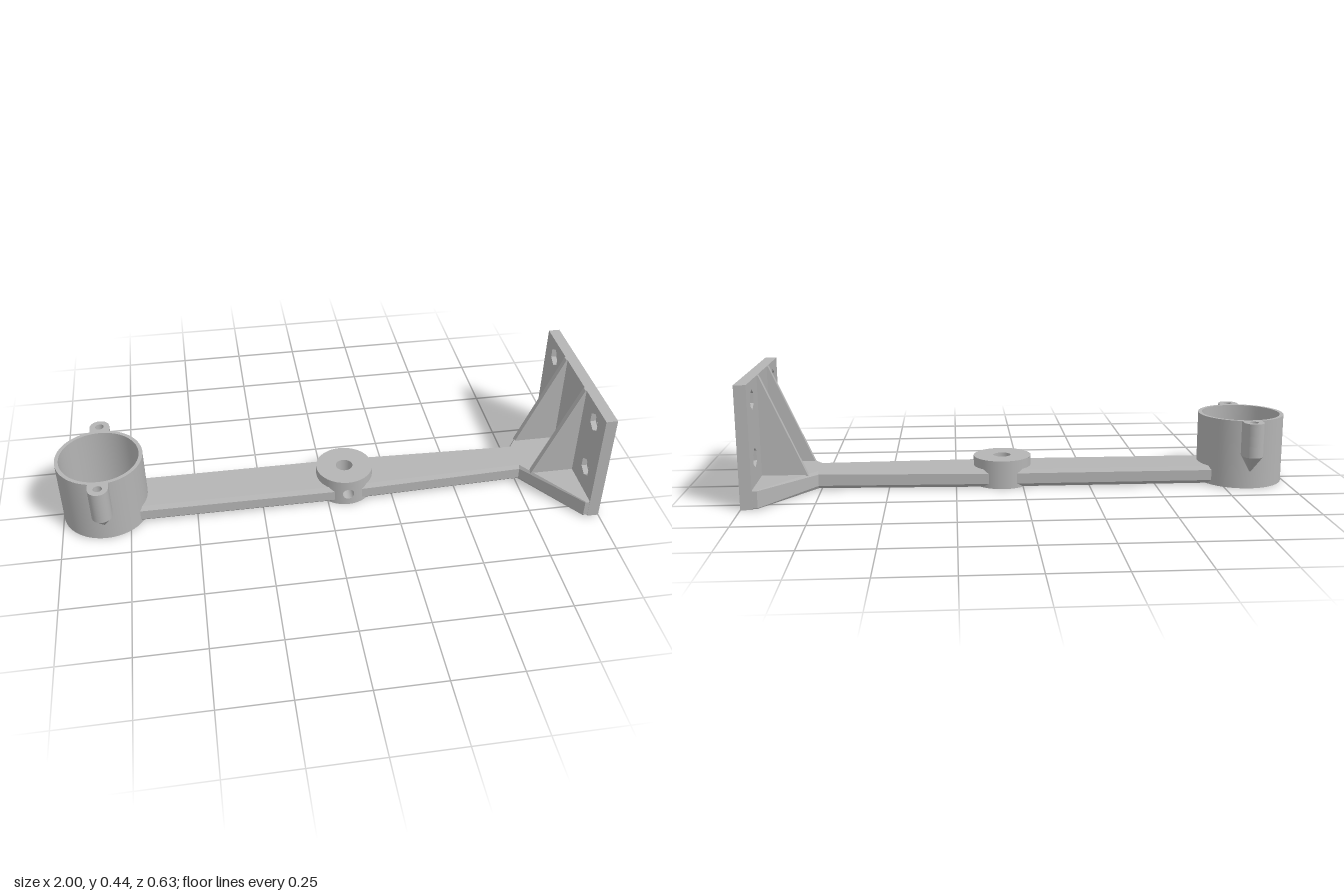
import * as THREE from 'three';

const grey = new THREE.MeshStandardMaterial({ color: 0xb4b4b4, side: THREE.DoubleSide });
grey.name = 'grey plastic';

const CUP = { x: -0.84, r: 0.16, inner: 0.146, h: 0.257 };
const BOSS = { x: 0.075, r: 0.108, top: 0.106 };

function part(name, geometry, x = 0, y = 0, z = 0) {
  const mesh = new THREE.Mesh(geometry, grey);
  mesh.name = name;
  mesh.position.set(x, y, z);
  return mesh;
}

const extrude = (shape, depth) =>
  new THREE.ExtrudeGeometry(shape, { depth, bevelEnabled: false, curveSegments: 32 });

// Flat-shaded triangles from a list of points
function faceted(points) {
  const g = new THREE.BufferGeometry().setFromPoints(points);
  g.computeVertexNormals();
  return g;
}

// Chamfered bar through stations [x, half width, chamfer]; bend shifts x by z
function bar(stations, bend = () => 0) {
  const lo = 0.003, hi = 0.07;
  const rings = stations.map(([x, w, c], i) => [
    [0, hi], [w - c, hi], [w, hi - c], [w, lo + c], [w - c, lo],
    [0, lo], [c - w, lo], [-w, lo + c], [-w, hi - c], [c - w, hi],
  ].map(([z, y]) => new THREE.Vector3(i === 0 ? x + bend(z) : x, y, z)));
  const tris = [];
  for (let i = 0; i + 1 < rings.length; i++) {
    const a = rings[i], b = rings[i + 1];
    for (let j = 0; j < a.length; j++) {
      const k = (j + 1) % a.length;
      tris.push(a[j], a[k], b[j], a[k], b[k], b[j]);
    }
  }
  return faceted(tris);
}

// Screw ear with a tapered support running back to the cup wall
function ear() {
  const g = new THREE.Group();
  g.name = 'screwEar';
  const r = 0.037, bottom = 0.13, reach = 0.185;
  const shape = new THREE.Shape();
  shape.moveTo(r, 0.15);
  shape.lineTo(r, reach);
  shape.absarc(0, reach, r, 0, Math.PI, false);
  shape.lineTo(-r, 0.15);
  const outline = shape.getPoints(16).map(p => new THREE.Vector3(p.x, bottom, -p.y));
  shape.holes.push(new THREE.Path().absarc(0, reach, 0.016, 0, Math.PI * 2, true));
  g.add(part('earBlock', extrude(shape, CUP.h - bottom).rotateX(-Math.PI / 2), 0, bottom, 0));
  const tip = new THREE.Vector3(0, 0.06, -0.155);
  const tris = [];
  for (let i = 0; i + 1 < outline.length; i++) tris.push(outline[i], tip, outline[i + 1]);
  g.add(part('earTaper', faceted(tris)));
  return g;
}

// Round cup with a floor and two ears
function cup() {
  const g = new THREE.Group();
  g.name = 'cup';
  g.position.x = CUP.x;
  const floor = 0.02;
  g.add(part('outerWall', new THREE.CylinderGeometry(CUP.r, CUP.r, CUP.h, 64, 1, true), 0, CUP.h / 2));
  g.add(part('innerWall', new THREE.CylinderGeometry(CUP.inner, CUP.inner, CUP.h - floor, 64, 1, true), 0, (CUP.h + floor) / 2));
  g.add(part('rim', new THREE.RingGeometry(CUP.inner, CUP.r, 64).rotateX(-Math.PI / 2), 0, CUP.h));
  g.add(part('cupFloor', new THREE.CircleGeometry(CUP.inner, 64).rotateX(-Math.PI / 2), 0, floor));
  g.add(part('cupBase', new THREE.CircleGeometry(CUP.r, 64).rotateX(Math.PI / 2)));
  for (const turn of [0, Math.PI]) {
    const e = ear();
    e.rotation.y = turn;
    g.add(e);
  }
  return g;
}

// Pivot boss with a blind top hole and a set-screw hole in front
function boss() {
  const g = new THREE.Group();
  g.name = 'pivotBoss';
  g.position.x = BOSS.x;
  const { r, top } = BOSS, half = 0.4, bore = 0.032, floor = 0.025, screw = 0.022, screwY = 0.049;
  g.add(part('bossWall', new THREE.CylinderGeometry(r, r, top, 56, 1, true, half, Math.PI * 2 - half * 2), 0, top / 2));

  // Front part of the wall, wrapped round the boss
  const panel = new THREE.Shape();
  const n = 10;
  panel.moveTo(-half * r, 0);
  for (let i = 1; i <= n; i++) panel.lineTo((2 * i / n - 1) * half * r, 0);
  for (let i = n; i >= 0; i--) panel.lineTo((2 * i / n - 1) * half * r, top);
  panel.holes.push(new THREE.Path().absarc(0, screwY, screw, 0, Math.PI * 2, true));
  const wrap = new THREE.ShapeGeometry(panel, 24);
  const pos = wrap.attributes.position, nor = wrap.attributes.normal;
  for (let i = 0; i < pos.count; i++) {
    const a = pos.getX(i) / r;
    pos.setXYZ(i, r * Math.sin(a), pos.getY(i), r * Math.cos(a));
    nor.setXYZ(i, Math.sin(a), 0, Math.cos(a));
  }
  g.add(part('bossFront', wrap));
  g.add(part('screwHole', new THREE.CylinderGeometry(screw, screw, 0.08, 24, 1, true).rotateX(Math.PI / 2), 0, screwY, 0.066));
  g.add(part('bossTop', new THREE.RingGeometry(bore, r, 56).rotateX(-Math.PI / 2), 0, top));
  g.add(part('bossBase', new THREE.CircleGeometry(r, 56).rotateX(Math.PI / 2)));
  g.add(part('boreWall', new THREE.CylinderGeometry(bore, bore, top - floor, 32, 1, true), 0, (top + floor) / 2));
  g.add(part('boreFloor', new THREE.CircleGeometry(bore, 32).rotateX(-Math.PI / 2), 0, floor));
  return g;
}

// One layer of the mounting plate, with four holes of a given radius and side count
function plateLayer(holeRadius, sides, depth) {
  const w = 0.313, h = 0.44;
  const shape = new THREE.Shape([[-w, 0], [w, 0], [w, h], [-w, h]].map(p => new THREE.Vector2(...p)));
  for (const z of [-0.22, 0.22]) for (const y of [0.165, 0.373]) {
    const pts = [];
    for (let i = 0; i < sides; i++) {
      const a = Math.PI / 2 - i * Math.PI * 2 / sides;
      pts.push(new THREE.Vector2(z + holeRadius * Math.cos(a), y + holeRadius * Math.sin(a)));
    }
    shape.holes.push(new THREE.Path(pts));
  }
  return extrude(shape, depth).rotateY(Math.PI / 2);
}

export function createModel() {
  const model = new THREE.Group();
  model.name = 'mountingArm';
  model.add(cup(), boss());

  // Straight arm, then tapered arm flaring into the plate
  const hug = z => Math.sqrt(0.155 ** 2 - z * z);
  model.add(part('straightArm', bar([[CUP.x, 0.095, 0.014], [0.04, 0.095, 0.014]], hug)));
  model.add(part('taperedArm', bar([
    [0.11, 0.094, 0.014], [0.76, 0.07, 0.012], [0.94, 0.312, 0.003], [0.96, 0.312, 0.003],
  ])));

  // Wall plate: nut pockets on the inner layer, round holes on the outer
  model.add(part('plateInner', plateLayer(0.036, 6, 0.021), 0.957));
  model.add(part('plateOuter', plateLayer(0.0205, 32, 0.022), 0.978));

  // Triangular ribs
  const rib = new THREE.Shape([[0.79, 0.066], [0.958, 0.066], [0.958, 0.44], [0.953, 0.44]].map(p => new THREE.Vector2(...p)));
  for (const z of [-0.115, 0.093]) model.add(part('rib', extrude(rib, 0.022), 0, 0, z));
  return model;
}
